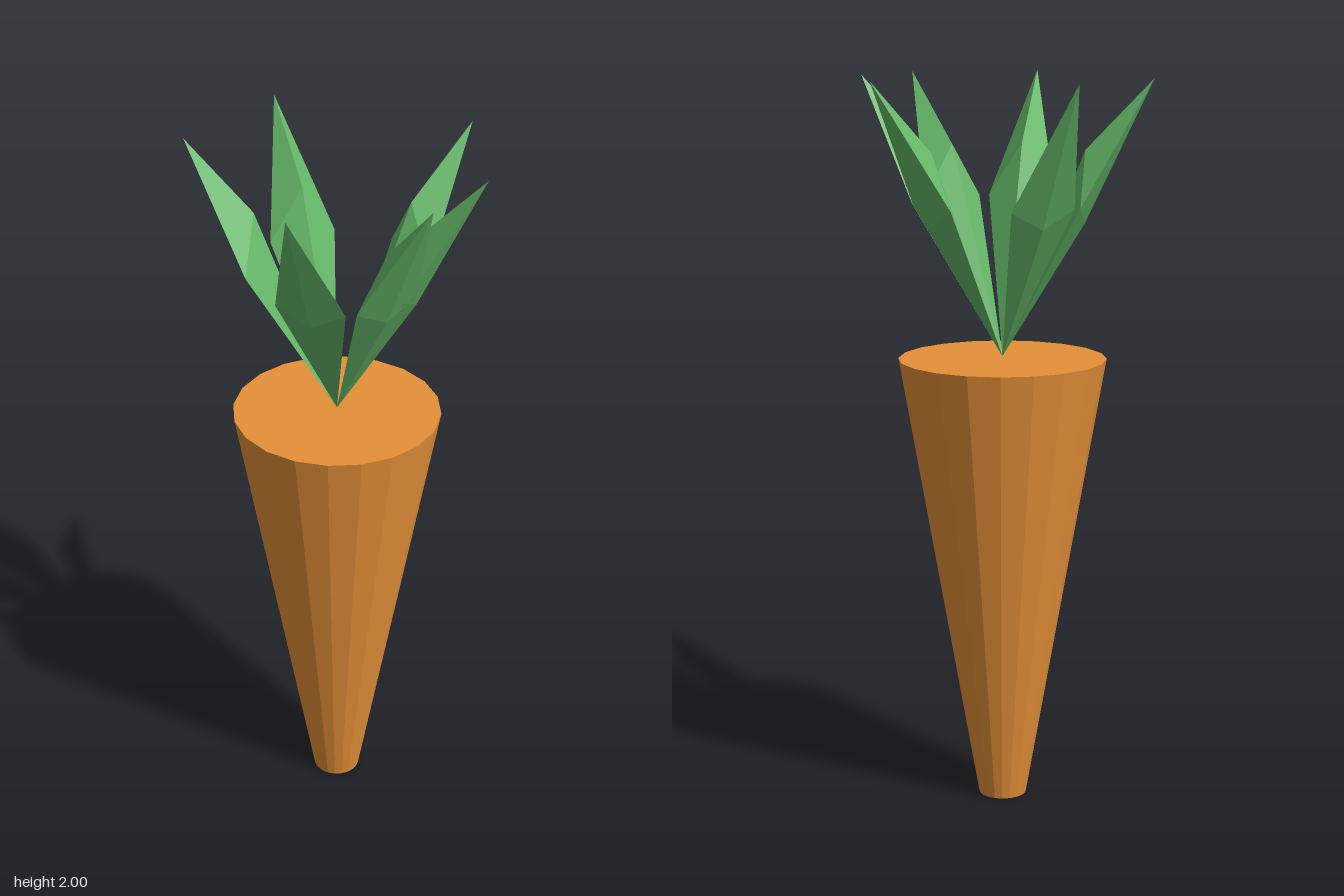
import * as THREE from 'three';

const orange = new THREE.MeshStandardMaterial({ color: 0xe69138, flatShading: true });
orange.name = 'root orange';
const green = new THREE.MeshStandardMaterial({ color: 0x66bb6a, flatShading: true });
green.name = 'leaf green';

// Pointed leaf leaning towards +x: a base point, a four-point ring and a tip
function leafGeometry() {
  const base = [0, 0, 0];
  const tip = [0.404, 0.75, 0];
  const ring = [
    [0.222, 0.365, 0],      // outer keel
    [0.222, 0.415, 0.094],  // side
    [0.222, 0.56, 0],       // inner ridge
    [0.222, 0.415, -0.094], // side
  ];
  const points = [];
  ring.forEach((a, i) => {
    const b = ring[(i + 1) % ring.length];
    points.push(...base, ...a, ...b, ...tip, ...b, ...a);
  });
  const geometry = new THREE.BufferGeometry();
  geometry.setAttribute('position', new THREE.Float32BufferAttribute(points, 3));
  geometry.computeVertexNormals();
  return geometry;
}

export function createModel() {
  const model = new THREE.Group();
  model.name = 'carrot';

  // Tapered root
  const root = new THREE.Mesh(new THREE.CylinderGeometry(0.283, 0.066, 1.245, 20), orange);
  root.name = 'root';
  root.position.set(-0.003, 1.245 / 2, -0.043);
  model.add(root);

  // Leaves fanned out from the middle of the crown
  const leaves = new THREE.Group();
  leaves.name = 'leaves';
  leaves.position.set(-0.003, 1.25, -0.043);
  const geometry = leafGeometry();
  [0, 32.5, 85, 170, 222.5, 307.5].forEach((degrees, i) => {
    const leaf = new THREE.Mesh(geometry, green);
    leaf.name = `leaf${i + 1}`;
    leaf.rotation.y = -THREE.MathUtils.degToRad(degrees);
    leaves.add(leaf);
  });
  model.add(leaves);

  return model;
}
